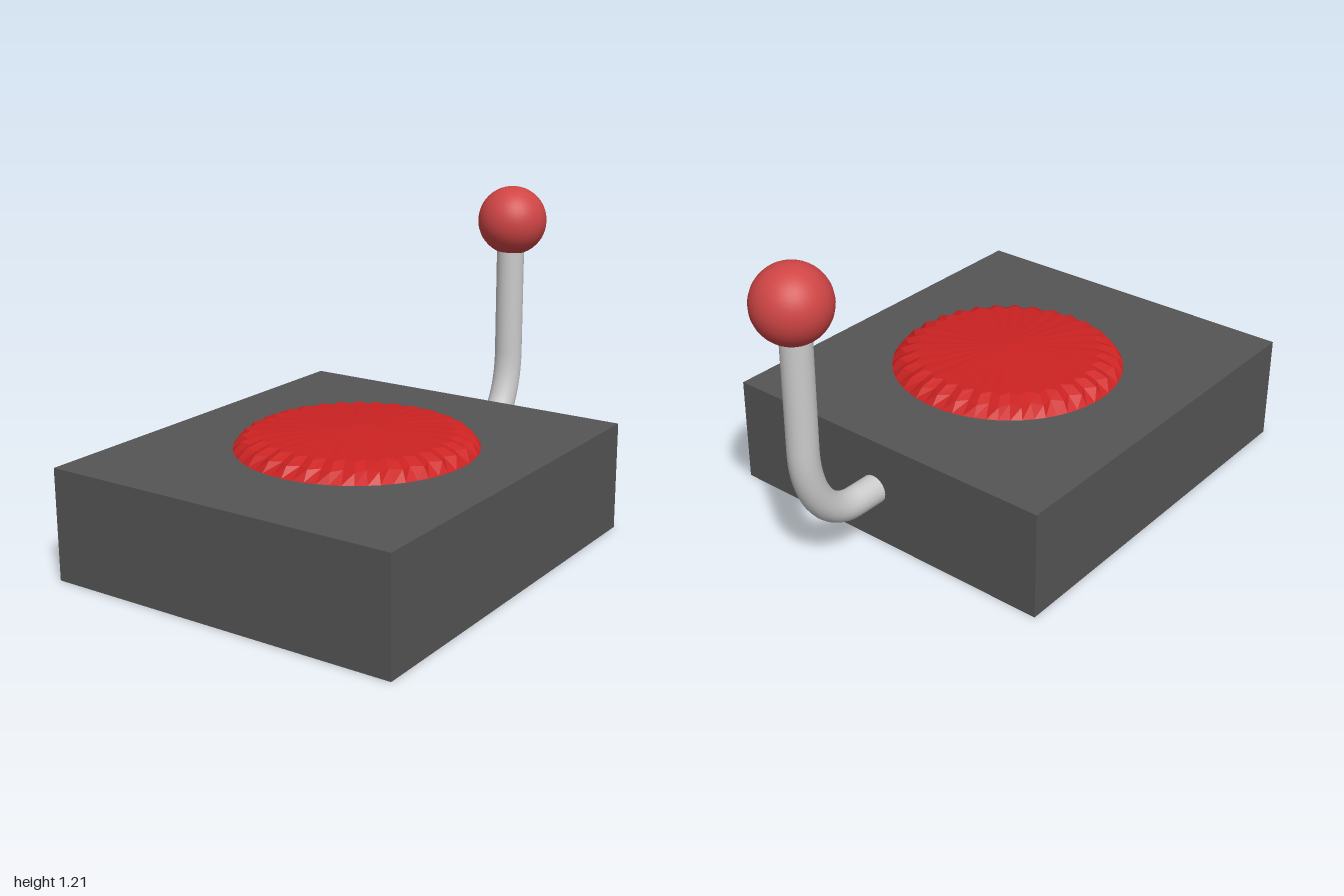
import * as THREE from 'three';

const material = (color, extra = {}) => new THREE.MeshStandardMaterial({ color, ...extra });

function addPart(group, name, geometry, mat, x = 0, y = 0, z = 0) {
  const mesh = new THREE.Mesh(geometry, mat);
  mesh.name = name;
  mesh.position.set(x, y, z);
  group.add(mesh);
}

// Shallow dome whose sloping rim is folded into pleats
function pleatedDome(pleats) {
  const n = pleats * 2;
  // [radius on ridges, radius in folds, height], from rim to crown
  const rings = [[0.44, 0.44, 0], [0.412, 0.385, 0.036], [0.362, 0.335, 0.056], [0, 0, 0.075]];
  const positions = [];
  const index = [];
  rings.forEach(([ridge, fold, y]) => {
    for (let i = 0; i < n; i++) {
      const a = (i / n) * Math.PI * 2;
      const r = i % 2 ? fold : ridge;
      positions.push(r * Math.sin(a), y, r * Math.cos(a));
    }
  });
  for (let k = 0; k < rings.length - 1; k++) {
    for (let i = 0; i < n; i++) {
      const a = k * n + i;
      const b = k * n + ((i + 1) % n);
      index.push(a, b, b + n);
      if (k < rings.length - 2) index.push(a, b + n, a + n);
      else index[index.length - 1] = a + n;
    }
  }
  const geometry = new THREE.BufferGeometry();
  geometry.setAttribute('position', new THREE.Float32BufferAttribute(positions, 3));
  geometry.setIndex(index);
  geometry.computeVertexNormals();
  return geometry;
}

export function createModel() {
  const model = new THREE.Group();
  model.name = 'buttonBoxWithLever';

  // Box and button
  addPart(model, 'base', new THREE.BoxGeometry(1.37, 0.41, 1.53), material(0x555555), 0, 0.205, 0.235);
  addPart(model, 'button', pleatedDome(32), material(0xcc2222, { flatShading: true }), 0.023, 0.41, 0.22);

  // Bent lever rod: out of the back, then up to the knob
  const p = (y, z) => new THREE.Vector3(0.033, y, z);
  const path = new THREE.CurvePath();
  path.add(new THREE.LineCurve3(p(0.21, -0.5), p(0.21, -0.63)));
  path.add(new THREE.CubicBezierCurve3(p(0.21, -0.63), p(0.21, -0.755), p(0.34, -0.857), p(0.53, -0.857)));
  path.add(new THREE.LineCurve3(p(0.53, -0.857), p(1.0, -0.857)));
  addPart(model, 'leverRod', new THREE.TubeGeometry(path, 40, 0.055, 20), material(0xcccccc));

  // Knob
  addPart(model, 'leverKnob', new THREE.SphereGeometry(0.137, 32, 24), material(0xd04545), 0.035, 1.07, -0.863);

  return model;
}
